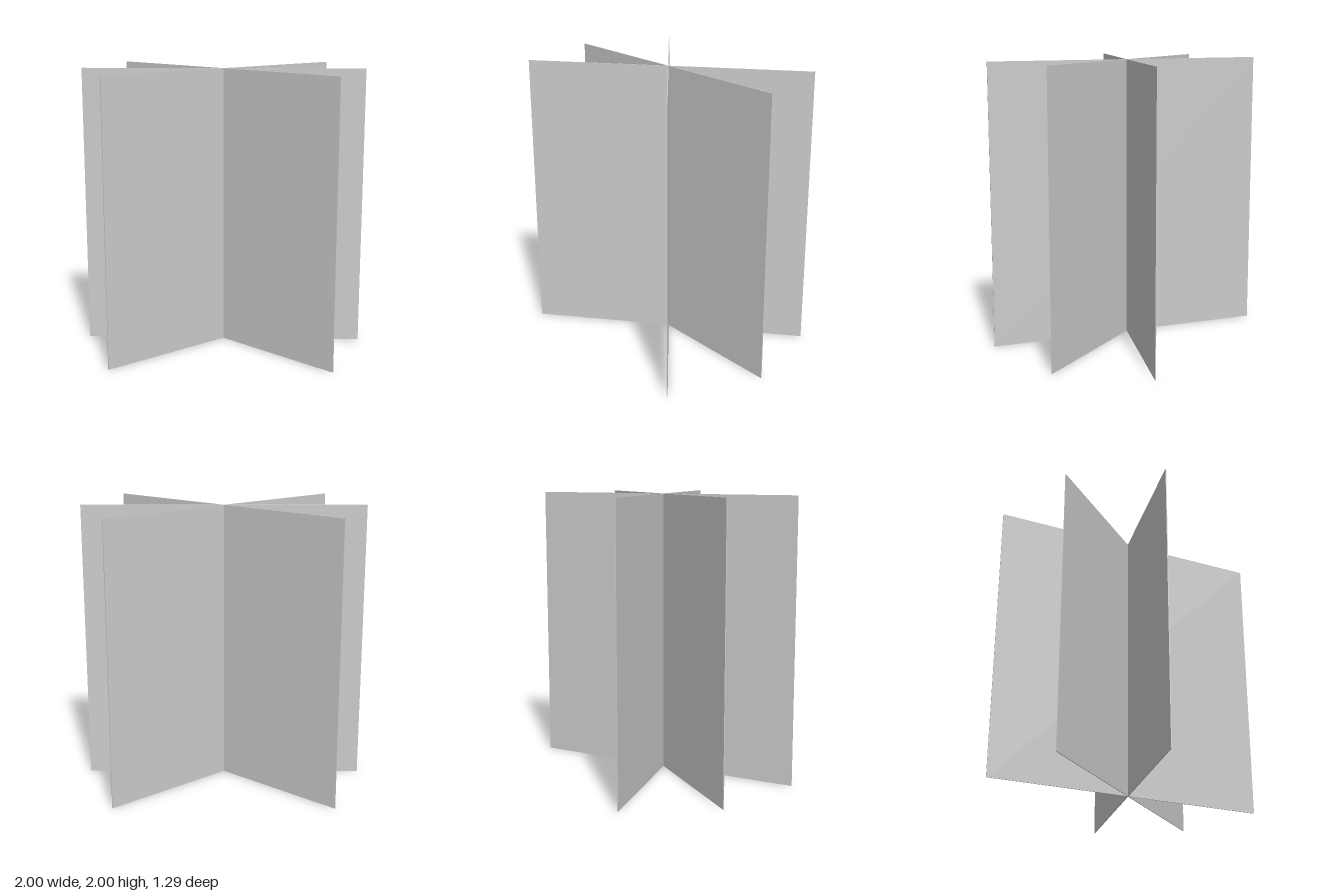
import * as THREE from 'three';

// Three thin upright panels crossing on a shared vertical axis
export function createModel() {
  const group = new THREE.Group();
  const material = new THREE.MeshStandardMaterial({ color: 0xcccccc, flatShading: true });
  const geometry = new THREE.BoxGeometry(2, 2, 0.006);
  const panels = { straightPanel: 0, leftForwardPanel: -40, rightForwardPanel: 40 };

  for (const [name, degrees] of Object.entries(panels)) {
    const panel = new THREE.Mesh(geometry, material);
    panel.name = name;
    panel.position.y = 1;
    panel.rotation.y = THREE.MathUtils.degToRad(degrees);
    group.add(panel);
  }
  return group;
}
